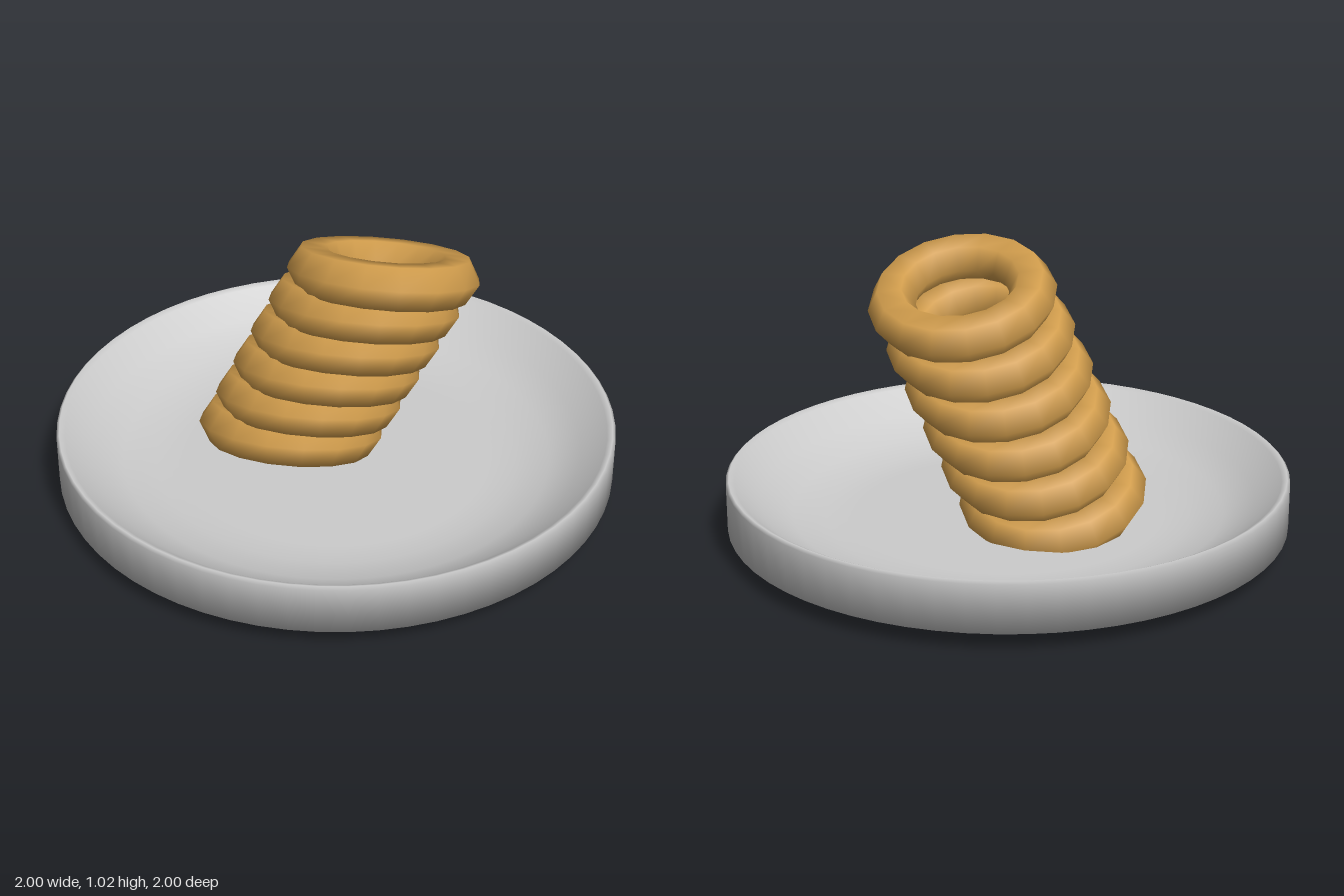
import * as THREE from 'three';

export function createModel() {
  const model = new THREE.Group();
  const grey = new THREE.MeshStandardMaterial({ color: 0xcccccc });
  const golden = new THREE.MeshStandardMaterial({ color: 0xd09c4c });

  // Shallow dish: flat underside, upright wall, thin lip, curved bowl and flat floor
  const profile = [
    [0, 0.065], [0.55, 0.065], [1, 0.065], [1, 0.235], [0.99, 0.245],
    [0.97, 0.235], [0.88, 0.155], [0.77, 0.1], [0.65, 0.075], [0.55, 0.07], [0, 0.07],
  ].map(([r, y]) => new THREE.Vector2(r, y));
  const plate = new THREE.Mesh(new THREE.LatheGeometry(profile, 64), grey);
  plate.name = 'plate';
  model.add(plate);

  // Leaning stack of tilted rings, the lowest poking through the dish
  const stack = new THREE.Group();
  stack.name = 'ringStack';
  const ringGeometry = new THREE.TorusGeometry(0.25, 0.085, 6, 16);
  const count = 6;
  for (let i = 0; i < count; i++) {
    const t = i / (count - 1);
    const ring = new THREE.Mesh(ringGeometry, golden);
    ring.name = `ring${i + 1}`;
    ring.position.set(-0.168 + 0.336 * t, 0.17 + 0.685 * t, 0);
    // lay flat, with the front edge raised
    ring.rotation.x = Math.PI / 2 - THREE.MathUtils.degToRad(20);
    stack.add(ring);
  }
  model.add(stack);
  return model;
}
